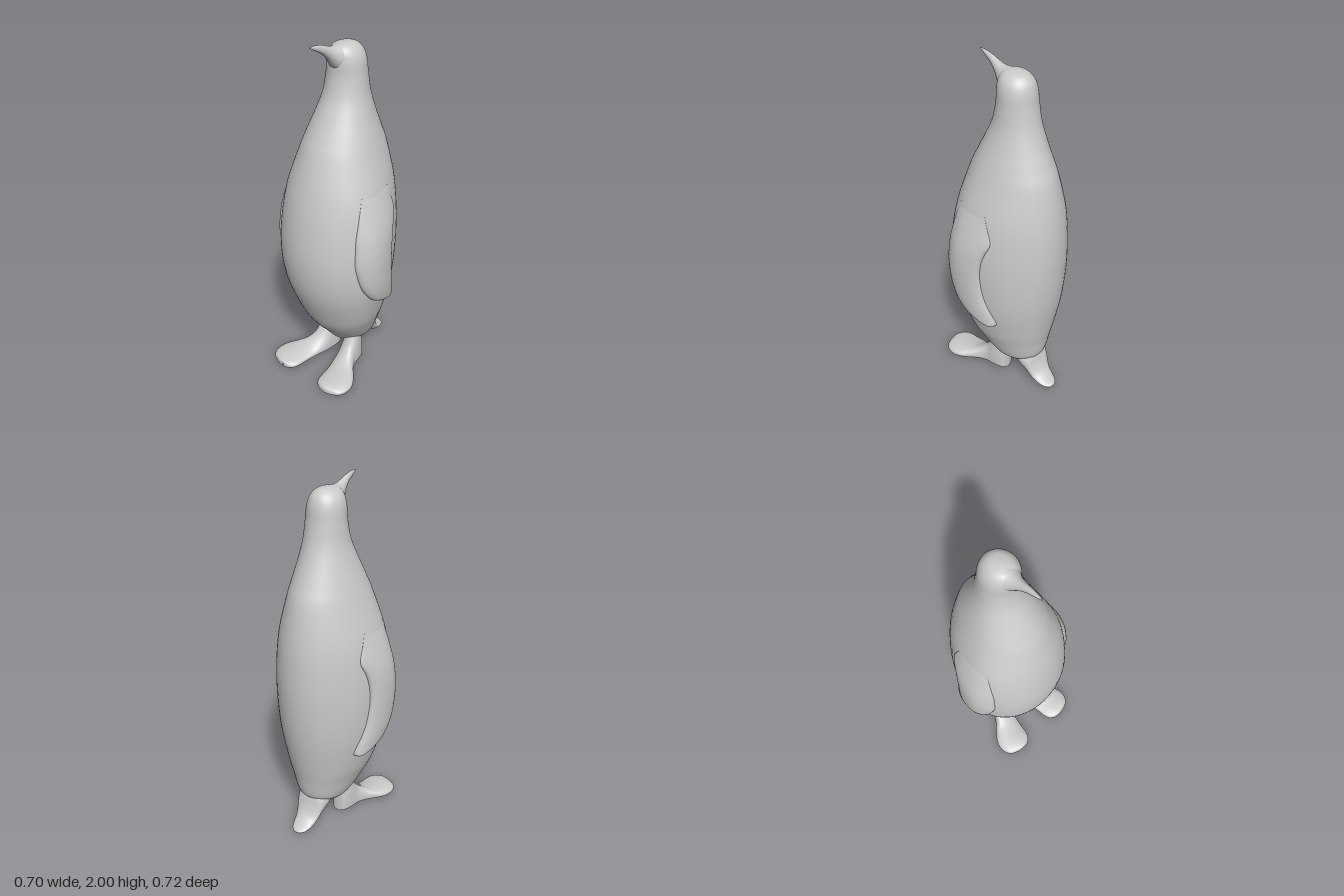
import * as THREE from 'three';

const material = new THREE.MeshStandardMaterial({ color: 0xcccccc });

// Smooth (Catmull-Rom) reading of a table of cross-sections at parameter t
function sample(rows, t) {
  const last = rows.length - 1;
  const i = Math.min(Math.floor(t), last - 1);
  const f = t - i;
  const row = (k) => rows[Math.max(0, Math.min(last, k))];
  return rows[0].map((_, c) => {
    const [p, q, r, s] = [row(i - 1)[c], row(i)[c], row(i + 1)[c], row(i + 2)[c]];
    const m0 = (r - p) / 2, m1 = (s - q) / 2;
    return q + f * (m0 + f * (3 * (r - q) - 2 * m0 - m1 + f * (2 * (q - r) + m0 + m1)));
  });
}

// Skin closed rings; place(row, angle) gives a point. side = -1 mirrors across x.
function loft(name, rows, place, side = 1, around = 64, perRow = 6) {
  const steps = (rows.length - 1) * perRow;
  const positions = [], index = [];
  for (let i = 0; i <= steps; i++) {
    const row = sample(rows, i / perRow);
    for (let j = 0; j < around; j++) {
      const [x, y, z] = place(row, (j / around) * Math.PI * 2);
      positions.push(side * x, y, z);
    }
  }
  for (let i = 0; i < steps; i++) {
    for (let j = 0; j < around; j++) {
      const a = i * around + j, b = i * around + ((j + 1) % around);
      const c = a + around, d = b + around;
      if (side > 0) index.push(a, c, b, b, c, d);
      else index.push(a, b, c, b, d, c);
    }
  }
  const geometry = new THREE.BufferGeometry();
  geometry.setAttribute('position', new THREE.Float32BufferAttribute(positions, 3));
  geometry.setIndex(index);
  geometry.computeVertexNormals();
  const mesh = new THREE.Mesh(geometry, material);
  mesh.name = name;
  return mesh;
}

// Body and head: height, half width, front z, back z
const BODY = [
  [0.115, 0.001, -0.05, -0.052], [0.12, 0.06, 0.02, -0.11], [0.135, 0.108, 0.058, -0.165],
  [0.165, 0.14, 0.083, -0.212], [0.2, 0.163, 0.11, -0.236], [0.3, 0.208, 0.19, -0.255],
  [0.4, 0.247, 0.245, -0.275], [0.6, 0.295, 0.32, -0.31], [0.8, 0.312, 0.348, -0.328],
  [1.0, 0.305, 0.335, -0.33], [1.2, 0.276, 0.297, -0.315], [1.4, 0.215, 0.235, -0.278],
  [1.5, 0.183, 0.19, -0.24], [1.6, 0.15, 0.14, -0.2], [1.7, 0.122, 0.095, -0.167],
  [1.8, 0.108, 0.073, -0.148], [1.88, 0.1, 0.07, -0.138], [1.93, 0.082, 0.063, -0.12],
  [1.96, 0.05, 0.04, -0.085], [1.97, 0.001, -0.02, -0.021],
];

// Flipper: height, front z, back z, thickness above the body
const FLIPPER = [
  [0.5, -0.1, -0.102, 0.02], [0.508, -0.075, -0.122, 0.034], [0.53, -0.015, -0.124, 0.04],
  [0.57, 0.07, -0.113, 0.041], [0.63, 0.13, -0.093, 0.041], [0.72, 0.18, -0.07, 0.04],
  [0.85, 0.21, -0.056, 0.039], [0.95, 0.205, -0.065, 0.037], [1.02, 0.197, -0.085, 0.032],
  [1.09, 0.18, -0.112, 0.021], [1.16, 0.16, -0.095, 0.009], [1.25, 0.13, -0.06, -0.004],
];

// Foot and leg, toe to heel: z, centre x, half width, height
const FOOT = [
  [0.36, 0.165, 0.001, 0.022], [0.356, 0.167, 0.037, 0.034], [0.335, 0.176, 0.077, 0.043],
  [0.3, 0.18, 0.096, 0.049], [0.255, 0.179, 0.101, 0.053], [0.21, 0.168, 0.097, 0.058],
  [0.165, 0.146, 0.085, 0.069], [0.12, 0.121, 0.07, 0.098], [0.08, 0.105, 0.061, 0.145],
  [0.05, 0.099, 0.058, 0.205], [0.02, 0.095, 0.056, 0.27], [-0.02, 0.09, 0.049, 0.26],
  [-0.045, 0.087, 0.034, 0.22], [-0.052, 0.086, 0.001, 0.16],
];

// Beak, tip to head, and tail, rump to tip: z, top y, bottom y, half width
const BEAK = [
  [0.238, 2.0, 1.997, 0.001], [0.2, 1.999, 1.975, 0.009], [0.15, 1.99, 1.945, 0.016],
  [0.11, 1.976, 1.908, 0.025], [0.08, 1.967, 1.868, 0.037], [0.05, 1.964, 1.835, 0.054],
  [0.015, 1.965, 1.82, 0.068], [-0.04, 1.95, 1.82, 0.07],
];
const TAIL = [
  [-0.05, 0.27, 0.122, 0.1], [-0.12, 0.27, 0.108, 0.105], [-0.17, 0.26, 0.068, 0.1],
  [-0.215, 0.215, 0.03, 0.085], [-0.24, 0.13, 0.016, 0.075], [-0.265, 0.078, 0.007, 0.066],
  [-0.3, 0.047, 0.001, 0.058], [-0.335, 0.029, 0, 0.044], [-0.355, 0.018, 0.002, 0.022],
  [-0.36, 0.011, 0.009, 0.001],
];

// Front, back and widest z of a body section; the trunk is widest ahead of its middle
function bodySection([, , zf, zb]) {
  const half = (zf - zb) / 2;
  return [zf, zb, (zf + zb) / 2 + 0.3 * Math.max(0, half - 0.1)];
}

function bodyPoint(row, a) {
  const [zf, zb, zw] = bodySection(row);
  const s = Math.sin(a);
  return [row[1] * Math.cos(a), row[0], zw + s * (s > 0 ? zf - zw : zw - zb)];
}

const taperPoint = ([z, top, bottom, hw], a) =>
  [hw * Math.cos(a), (top + bottom) / 2 + ((top - bottom) / 2) * Math.sin(a), z];

// Flat-soled section with a rounded rim
function footPoint([z, xc, hw, h], a) {
  const s = Math.sin(a);
  const rim = Math.min(0.4 * h, 0.03);
  const y = s >= 0 ? rim + (h - rim) * s : rim * (1 - Math.sqrt(-s));
  return [xc + hw * Math.cos(a), y, z];
}

// Half width of the body at a given height and depth
function bodySurfaceX(y, z) {
  let lo = 0, hi = BODY.length - 1;
  for (let k = 0; k < 30; k++) {
    const mid = (lo + hi) / 2;
    if (sample(BODY, mid)[0] < y) lo = mid;
    else hi = mid;
  }
  const row = sample(BODY, lo);
  const [zf, zb, zw] = bodySection(row);
  const u = (z - zw) / (z > zw ? zf - zw : zw - zb);
  return row[1] * Math.sqrt(Math.max(0, 1 - u * u));
}

// Flipper lies on the curve of the body, its inner face sunk in
function flipperPoint([y, zf, zb, thick], a) {
  const z = (zf + zb) / 2 + ((zf - zb) / 2) * Math.sin(a);
  const c = Math.cos(a);
  const offset = c > 0 ? thick * Math.pow(c, 0.65) : 0.025 * c;
  return [bodySurfaceX(y, z) + offset, y, z];
}

export function createModel() {
  const model = new THREE.Group();
  model.name = 'penguin';
  model.add(loft('body', BODY, bodyPoint));
  model.add(loft('beak', BEAK, taperPoint));
  model.add(loft('tail', TAIL, taperPoint));
  for (const [label, side] of [['left', 1], ['right', -1]]) {
    model.add(loft(label + 'Flipper', FLIPPER, flipperPoint, side));
    model.add(loft(label + 'Foot', FOOT, footPoint, side));
  }
  return model;
}
